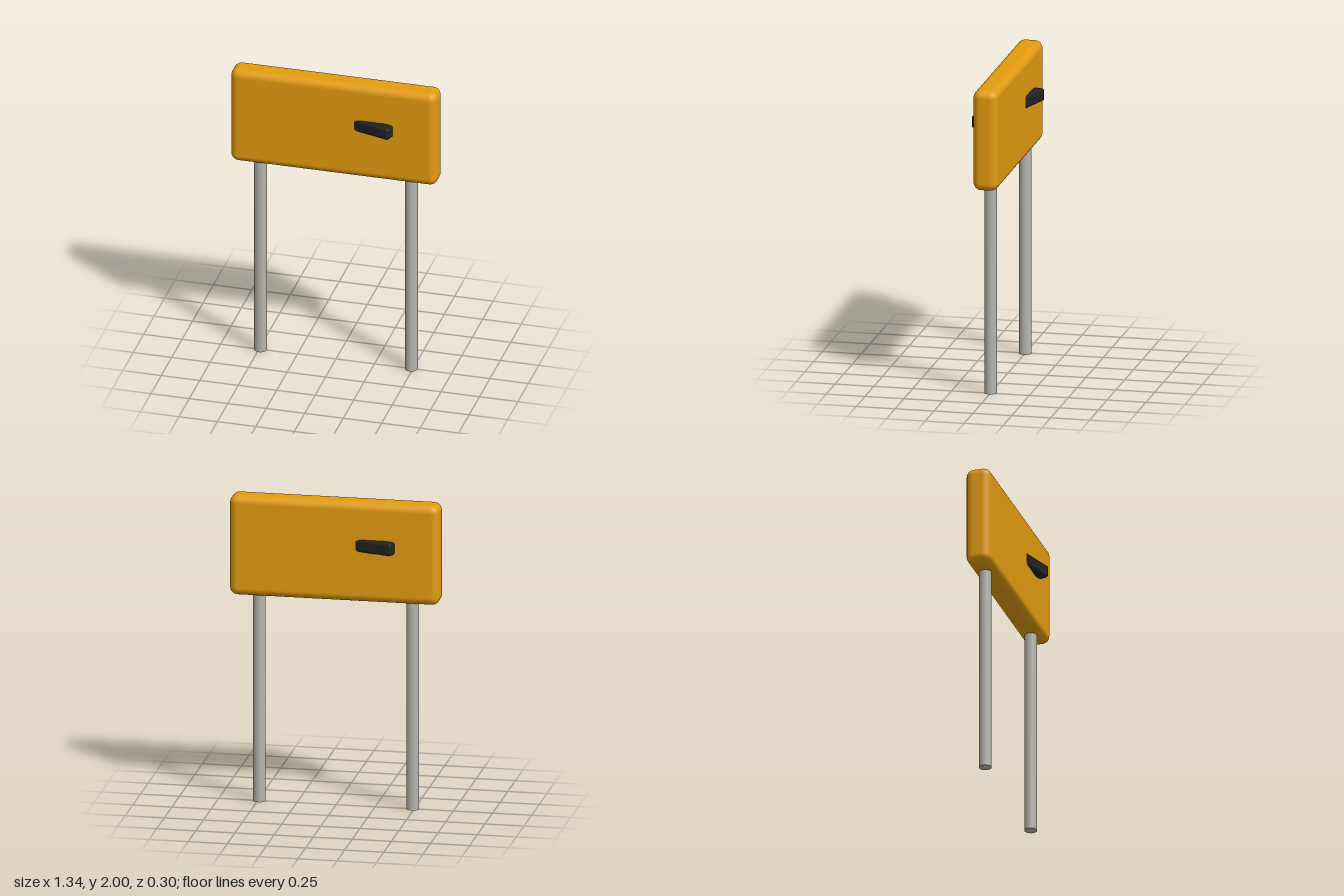
import * as THREE from 'three';
import { RoundedBoxGeometry } from 'three/addons/geometries/RoundedBoxGeometry.js';

export function createModel() {
  const model = new THREE.Group();
  model.name = 'twoLegComponent';

  const material = (name, color) => {
    const m = new THREE.MeshStandardMaterial({ color });
    m.name = name;
    return m;
  };
  const amber = material('amber', 0xe39c10);
  const metal = material('metalGrey', 0xb6b5ae);
  const black = material('black', 0x222222);

  const add = (name, geometry, mat, x, y, z) => {
    const mesh = new THREE.Mesh(geometry, mat);
    mesh.name = name;
    mesh.position.set(x, y, z);
    model.add(mesh);
    return mesh;
  };

  // Rounded slab body
  add('body', new RoundedBoxGeometry(1.34, 0.65, 0.16, 4, 0.05), amber, 0, 1.675, 0);

  // Two straight wire legs, ending just inside the body
  const legGeometry = new THREE.CylinderGeometry(0.04, 0.04, 1.4, 24);
  for (const [name, side] of [['leftLeg', 1], ['rightLeg', -1]]) {
    add(name, legGeometry, metal, side * 0.49, 0.7, 0);
  }

  // Skewed bar passing through the body, showing on both faces
  const bar = add('crossBar', new RoundedBoxGeometry(0.81, 0.08, 0.07, 3, 0.015), black, 0, 1.72, 0);
  bar.rotation.y = -0.3;

  return model;
}
